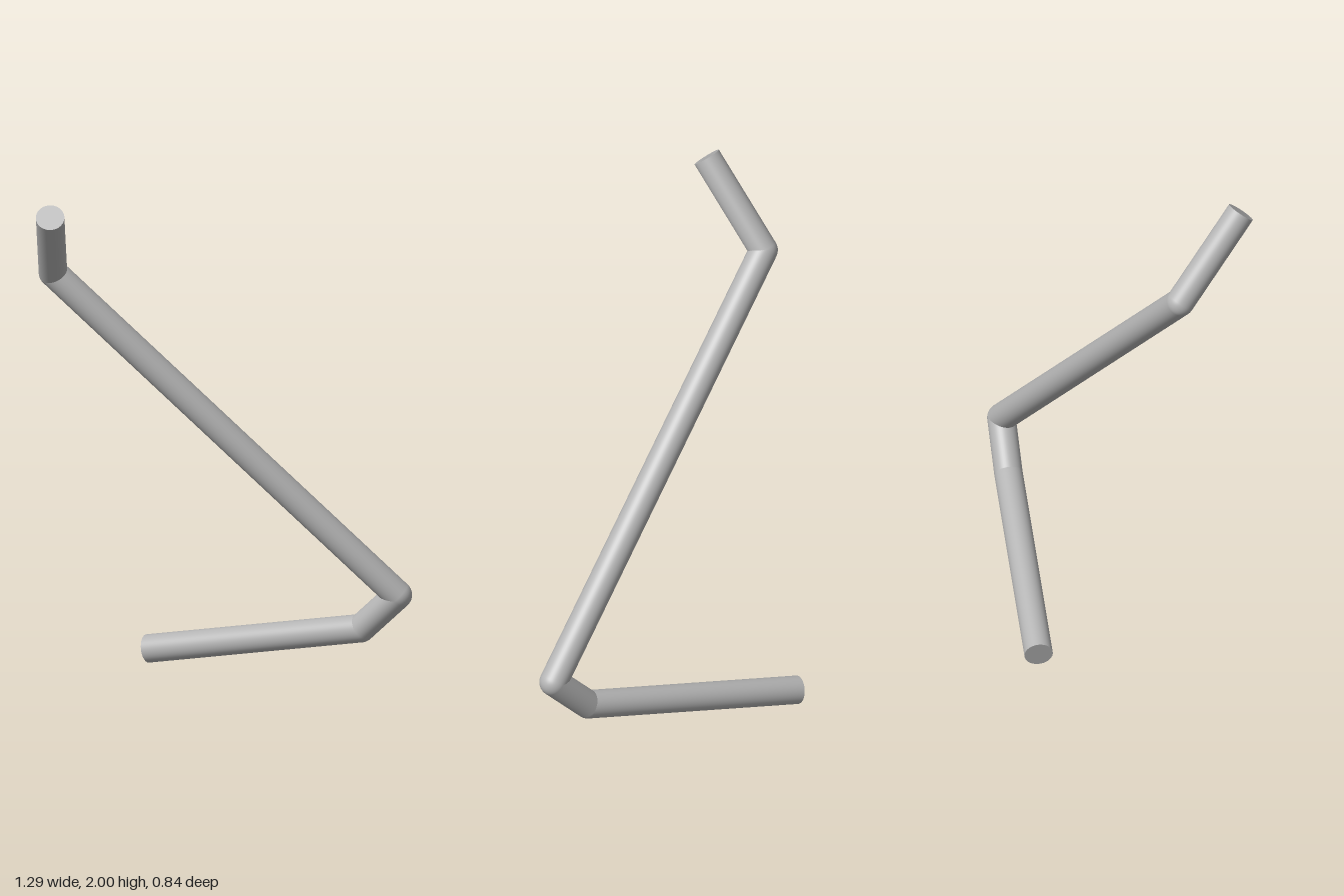
import * as THREE from 'three';

const R = 0.0525;

export function createModel() {
  const group = new THREE.Group();
  group.name = 'bentRod';
  const steel = new THREE.MeshStandardMaterial({ color: 0xb4b4b4 });
  steel.name = 'grey steel';

  // centre line of the rod, from the upper tip to the lower tip
  const path = [
    [-0.497, 1.966, 0.377],
    [-0.593, 1.66, 0.133],
    [0.592, 0.424, -0.323],
    [0.444, 0.273, -0.323],
    [-0.432, 0.055, -0.367],
  ].map((p) => new THREE.Vector3(...p));
  const up = new THREE.Vector3(0, 1, 0);

  const add = (name, geometry, position, direction, axis) => {
    const mesh = new THREE.Mesh(geometry, steel);
    mesh.name = name;
    mesh.position.copy(position);
    if (direction) mesh.quaternion.setFromUnitVectors(axis, direction);
    group.add(mesh);
  };

  // straight lengths
  const names = ['upperHandle', 'longShaft', 'shortElbow', 'lowerArm'];
  names.forEach((name, i) => {
    const a = path[i], b = path[i + 1];
    const dir = b.clone().sub(a);
    const length = dir.length();
    add(name, new THREE.CylinderGeometry(R, R, length, 48, 1, true),
      a.clone().add(b).multiplyScalar(0.5), dir.normalize(), up);
  });

  // rounded bends
  for (let i = 1; i < path.length - 1; i++) {
    add('bend' + i, new THREE.SphereGeometry(R, 48, 24), path[i]);
  }

  // flat cut ends
  const front = new THREE.Vector3(0, 0, 1);
  [[0, 1, 'upperEnd'], [4, 3, 'lowerEnd']].forEach(([tip, inner, name]) => {
    const dir = path[tip].clone().sub(path[inner]).normalize();
    add(name, new THREE.CircleGeometry(R, 48), path[tip], dir, front);
  });
  return group;
}
